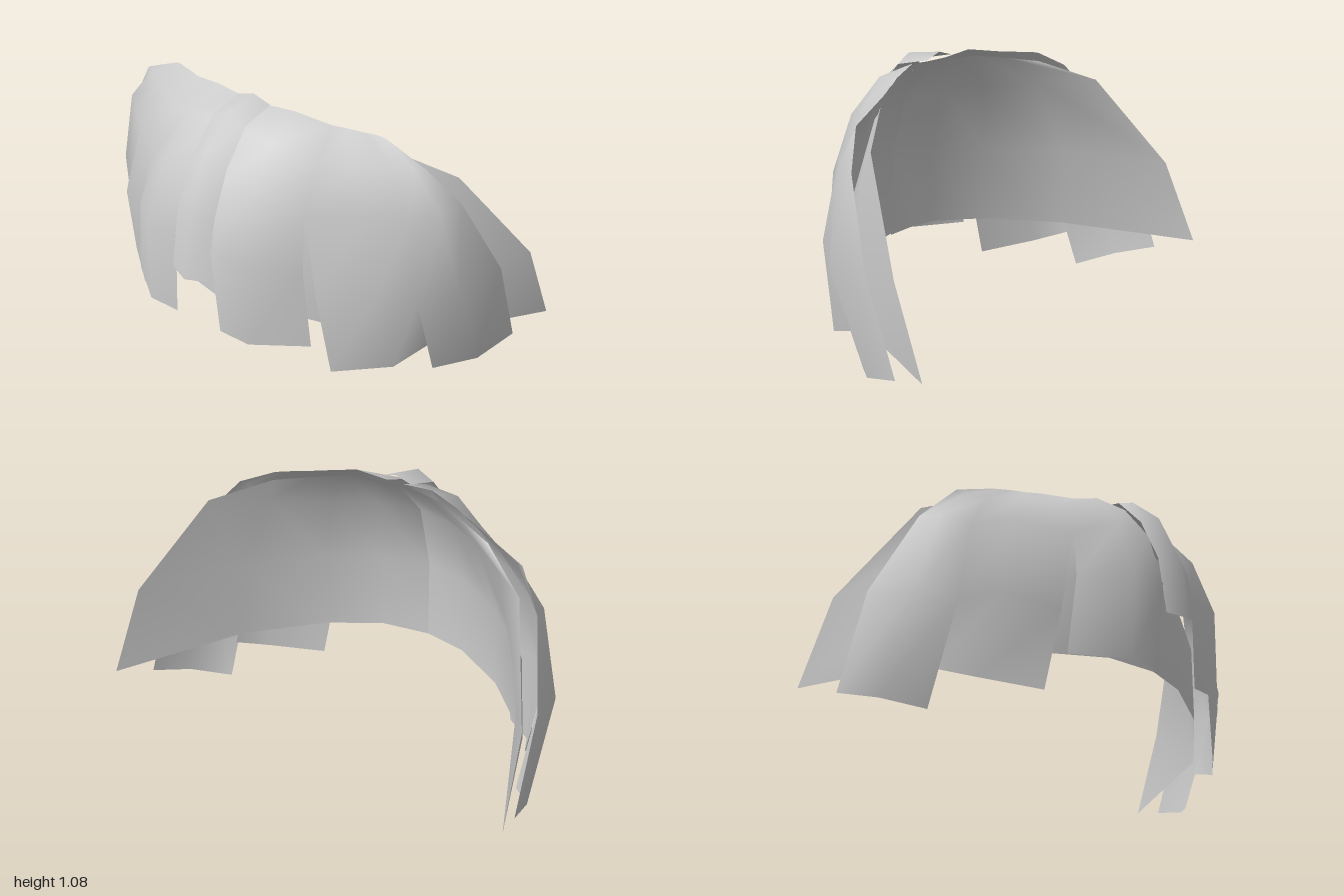
import * as THREE from 'three';
import { mergeVertices } from 'three/addons/utils/BufferGeometryUtils.js';

const material = new THREE.MeshStandardMaterial({ color: 0xcccccc, side: THREE.DoubleSide });

// Mirror a sheet across x = 0, keeping its outward winding
const mirror = (columns) => columns.map((col) => col.map(([x, y, z]) => [-x, y, z])).reverse();

// Join sheets (each a list of columns running bottom to top) into one smooth surface
function sheetMesh(name, sheets) {
  const positions = [];
  for (const columns of sheets) {
    for (let c = 0; c < columns.length - 1; c++) {
      const p = columns[c], q = columns[c + 1];
      for (let r = 0; r < p.length - 1; r++) {
        for (const v of [p[r], q[r], q[r + 1], p[r], q[r + 1], p[r + 1]]) positions.push(...v);
      }
    }
  }
  let geometry = new THREE.BufferGeometry();
  geometry.setAttribute('position', new THREE.Float32BufferAttribute(positions, 3));
  geometry = mergeVertices(geometry, 1e-4);
  geometry.computeVertexNormals();
  const mesh = new THREE.Mesh(geometry, material);
  mesh.name = name;
  return mesh;
}

export function createModel() {
  const group = new THREE.Group();
  group.name = 'layeredPlateSkirt';

  // Upper parts of the slits, shared by the panels on both sides
  const frontSlit = [[0.39, 0.75, 0.295], [0.37, 0.92, 0.2], [0.34, 1.03, 0.07]];
  const sideSlit = [[0.77, 0.39, 0.067], [0.71, 0.74, 0.06], [0.6, 0.91, 0.03], [0.46, 1.015, 0.015]];

  // Outer plate: three flaps joined above the slits
  const frontFlap = [
    [[0.115, 0.2, 0.475], [0.088, 0.57, 0.495], [0.07, 0.82, 0.41], [0.05, 1.0, 0.272], [0.04, 1.045, 0.12]],
    [[0.26, 0.2, 0.475], [0.25, 0.57, 0.485], [0.23, 0.82, 0.398], [0.21, 0.99, 0.262], [0.19, 1.057, 0.11]],
    [[0.458, 0.2, 0.33], [0.425, 0.53, 0.345], ...frontSlit],
  ];
  const sideFlap = [
    [[0.505, 0.06, 0.26], [0.447, 0.4, 0.29], ...frontSlit],
    [[0.7, 0.09, 0.11], [0.66, 0.43, 0.19], [0.58, 0.77, 0.165], [0.49, 0.93, 0.1], [0.4, 1.022, 0.04]],
    [[0.765, 0.145, -0.04], ...sideSlit],
  ];
  const rearFlap = [
    [[0.76, 0, -0.085], ...sideSlit],
    [[0.89, 0.04, -0.21], [0.89, 0.43, -0.04], [0.8, 0.77, -0.01], [0.67, 0.92, -0.01], [0.5, 1.01, -0.005]],
    [[0.945, 0.09, -0.385], [0.94, 0.47, -0.25], [0.83, 0.785, -0.105], [0.71, 0.925, -0.03], [0.53, 1.003, -0.015]],
  ];
  const flaps = [frontFlap, sideFlap, rearFlap];
  group.add(sheetMesh('leftPlate', flaps), sheetMesh('rightPlate', flaps.map(mirror)));

  // Inner lining reaching further back than the plates
  const lining = [
    [[0, 0.265, 0.365], [0, 0.6, 0.365], [0, 0.87, 0.295], [0, 1.035, 0.13]],
    [[0.21, 0.268, 0.32], [0.21, 0.59, 0.32], [0.19, 0.87, 0.25], [0.12, 1.03, 0.12]],
    [[0.455, 0.24, 0.21], [0.45, 0.56, 0.21], [0.37, 0.86, 0.16], [0.23, 1.025, 0.1]],
    [[0.74, 0.19, -0.02], [0.72, 0.53, -0.02], [0.58, 0.86, 0.01], [0.37, 1.0, 0.05]],
    [[1, 0.137, -0.55], [0.975, 0.48, -0.41], [0.78, 0.86, -0.155], [0.54, 0.965, -0.01]],
  ];
  group.add(sheetMesh('leftLining', [lining]), sheetMesh('rightLining', [mirror(lining)]));

  // Narrow rounded strip covering the front gap
  const strip = [
    [[0, 0.435, 0.55], [0, 0.71, 0.51], [0, 0.93, 0.41], [0, 1.055, 0.275], [0, 1.075, 0.12]],
    [[0.095, 0.44, 0.512], [0.092, 0.69, 0.475], [0.087, 0.885, 0.387], [0.082, 1.02, 0.268], [0.08, 1.052, 0.12]],
  ];
  group.add(sheetMesh('centreStrip', [mirror(strip), strip]));

  return group;
}
